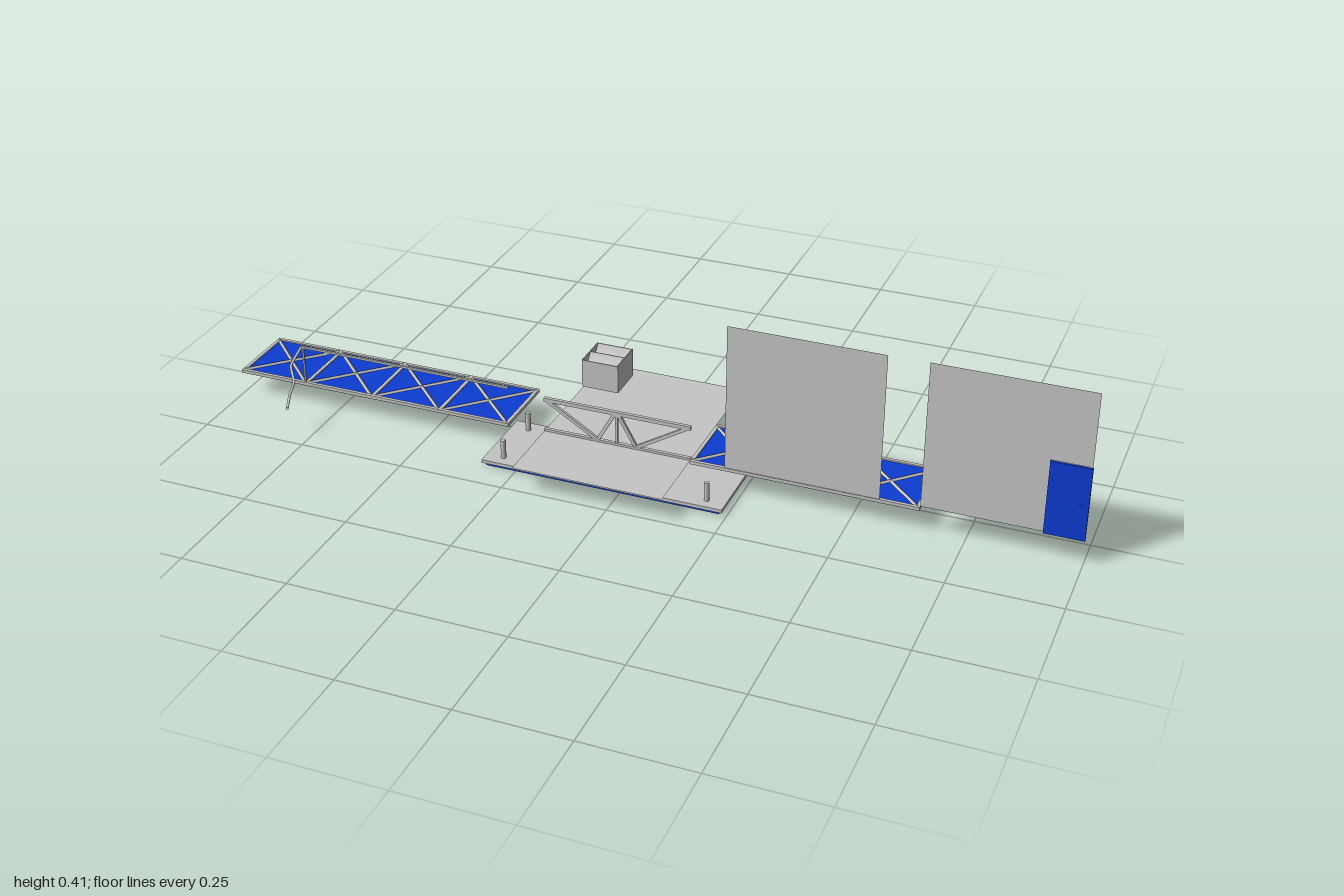
import * as THREE from 'three';

const grey = new THREE.MeshStandardMaterial({ color: 0xc4c4c4 });
grey.name = 'lightGrey';
const sheetGrey = new THREE.MeshStandardMaterial({ color: 0xc6c6c6, side: THREE.DoubleSide });
sheetGrey.name = 'sheetGrey';
const blue = new THREE.MeshStandardMaterial({ color: 0x0d3cd2, side: THREE.DoubleSide });
blue.name = 'panelBlue';

function add(parent, name, geometry, material, x = 0, y = 0, z = 0) {
  const mesh = new THREE.Mesh(geometry, material);
  mesh.name = name;
  mesh.position.set(x, y, z);
  parent.add(mesh);
  return mesh;
}

// Box given by its limits on each axis
function block(parent, name, material, x0, x1, y0, y1, z0, z1) {
  return add(parent, name, new THREE.BoxGeometry(x1 - x0, y1 - y0, z1 - z0), material,
    (x0 + x1) / 2, (y0 + y1) / 2, (z0 + z1) / 2);
}

// Rectangular bar running between two points
function bar(parent, name, a, b, width, depth) {
  const from = new THREE.Vector3(...a), to = new THREE.Vector3(...b);
  const mesh = add(parent, name, new THREE.BoxGeometry(width, from.distanceTo(to), depth), grey);
  mesh.position.copy(from).add(to).multiplyScalar(0.5);
  mesh.quaternion.setFromUnitVectors(new THREE.Vector3(0, 1, 0), to.sub(from).normalize());
}

// Long blue deck with a frame, crossbars and X braces in each bay
function createDeck(name, x0, x1, bays) {
  const deck = new THREE.Group();
  deck.name = name;
  const zb = -0.087, zf = 0.087, y0 = 0.054, y1 = 0.062, w = 0.008;
  const step = (x1 - x0) / bays;
  block(deck, 'deckPanel', blue, x0 + 0.002, x1 - 0.002, 0.0572, 0.0588, zb + 0.002, zf - 0.002);
  block(deck, 'backRail', grey, x0, x1, y0, y1, zb, zb + w);
  block(deck, 'frontRail', grey, x0, x1, y0, y1, zf - w, zf);
  for (let i = 0; i <= bays; i++) {
    const x = Math.min(Math.max(x0 + i * step, x0 + w / 2), x1 - w / 2);
    block(deck, 'crossbar', grey, x - w / 2, x + w / 2, y0, y1, zb + w, zf - w);
  }
  for (let i = 0; i < bays; i++) {
    const a = x0 + i * step + 0.004, b = a + step - 0.008;
    bar(deck, 'brace', [a, 0.058, zb + 0.006], [b, 0.058, zf - 0.006], 0.009, 0.006);
    bar(deck, 'brace', [a, 0.058, zf - 0.006], [b, 0.058, zb + 0.006], 0.009, 0.0055);
  }
  return deck;
}

// Upright triangular truss
function createTruss() {
  const truss = new THREE.Group();
  truss.name = 'truss';
  const z = 0.079, low = 0.064, high = 0.139;
  block(truss, 'topChord', grey, -0.22, 0.13, 0.136, 0.145, z - 0.004, z + 0.004);
  block(truss, 'bottomChord', grey, -0.22, 0.13, 0.0605, 0.066, z - 0.004, z + 0.004);
  const mid = -0.045;
  for (const s of [-1, 1]) {
    bar(truss, 'outerDiagonal', [mid + s * 0.168, high, z], [mid + s * 0.046, low, z], 0.008, 0.007);
    bar(truss, 'innerDiagonal', [mid + s * 0.046, low, z], [mid + s * 0.004, high, z], 0.008, 0.0065);
  }
  bar(truss, 'middlePost', [mid, low, z], [mid, high, z], 0.005, 0.006);
  return truss;
}

// Raised box with two scooped channels in its top
function createBasin() {
  const basin = new THREE.Group();
  basin.name = 'basin';
  const x0 = -0.13, x1 = -0.045, z0 = -0.017, z1 = 0.071, y0 = 0.187, y1 = 0.253;
  const shape = new THREE.Shape();
  shape.moveTo(-z1, y0);
  shape.lineTo(-z0, y0);
  shape.lineTo(-z0, y1);
  shape.lineTo(-z0 - 0.002, y1);
  shape.quadraticCurveTo(-0.005, y1 - 0.034, -0.026, y1);
  shape.lineTo(-0.028, y1);
  shape.quadraticCurveTo(-0.049, y1 - 0.034, -z1 + 0.002, y1);
  shape.lineTo(-z1, y1);
  shape.closePath();
  const body = new THREE.ExtrudeGeometry(shape, { depth: x1 - x0, bevelEnabled: false, curveSegments: 12 });
  body.rotateY(Math.PI / 2);
  add(basin, 'basinBody', body, grey, x0);
  for (const x of [x0, x1 - 0.002]) {
    block(basin, 'basinEnd', grey, x, x + 0.002, y0, y1 + 0.001, z0, z1);
  }
  return basin;
}

export function createModel() {
  const model = new THREE.Group();
  model.name = 'modularBridge';

  // Base slab on a blue underside, with four short posts
  block(model, 'baseUnderside', blue, -0.322, 0.232, 0, 0.0085, 0.001, 0.175);
  block(model, 'baseSlab', grey, -0.33, 0.24, 0.008, 0.016, -0.007, 0.182);
  for (const x of [-0.288, 0.196]) {
    for (const z of [0.022, 0.155]) {
      add(model, 'basePost', new THREE.CylinderGeometry(0.006, 0.006, 0.045, 16), grey, x, 0.0385, z);
    }
  }

  // Flat sheet across the middle
  const sheet = add(model, 'centreSheet', new THREE.PlaneGeometry(0.35, 0.516), sheetGrey, -0.045, 0.06, -0.003);
  sheet.rotation.x = -Math.PI / 2;

  model.add(createDeck('rightDeck', -1, -0.308, 4));
  model.add(createDeck('leftDeck', 0.13, 0.649, 3));
  model.add(createTruss());
  model.add(createBasin());

  // Upright wall sheets; the second is cut away around the door
  add(model, 'innerWall', new THREE.PlaneGeometry(0.35, 0.35), sheetGrey, 0.386, 0.234, 0.0855);
  const wall = new THREE.Shape([
    [0.65, 0.065], [0.912, 0.065], [0.912, 0.238], [0.999, 0.238], [0.999, 0.41], [0.65, 0.41],
  ].map(([x, y]) => new THREE.Vector2(x, y)));
  add(model, 'outerWall', new THREE.ShapeGeometry(wall), sheetGrey, 0, 0, 0.0855);
  block(model, 'door', blue, 0.912, 1, 0.062, 0.236, 0.083, 0.088);
  add(model, 'doorKnob', new THREE.SphereGeometry(0.003, 10, 8), blue, 0.982, 0.148, 0.088);

  // Handrail with its post and a bent hose hanging from the end
  block(model, 'handrail', grey, -0.835, -0.305, 0.152, 0.157, 0.082, 0.087);
  block(model, 'handrailPost', grey, -0.831, -0.827, 0.058, 0.153, 0.082, 0.086);
  const points = [
    [-0.833, 0.154, 0.085], [-0.833, 0.131, 0.136], [-0.81, 0.109, 0.165],
    [-0.804, 0.092, 0.197], [-0.786, 0.082, 0.241],
  ].map((p) => new THREE.Vector3(...p));
  const path = new THREE.CatmullRomCurve3(points, false, 'catmullrom', 0.2);
  add(model, 'hose', new THREE.TubeGeometry(path, 32, 0.0032, 10), sheetGrey);

  return model;
}
